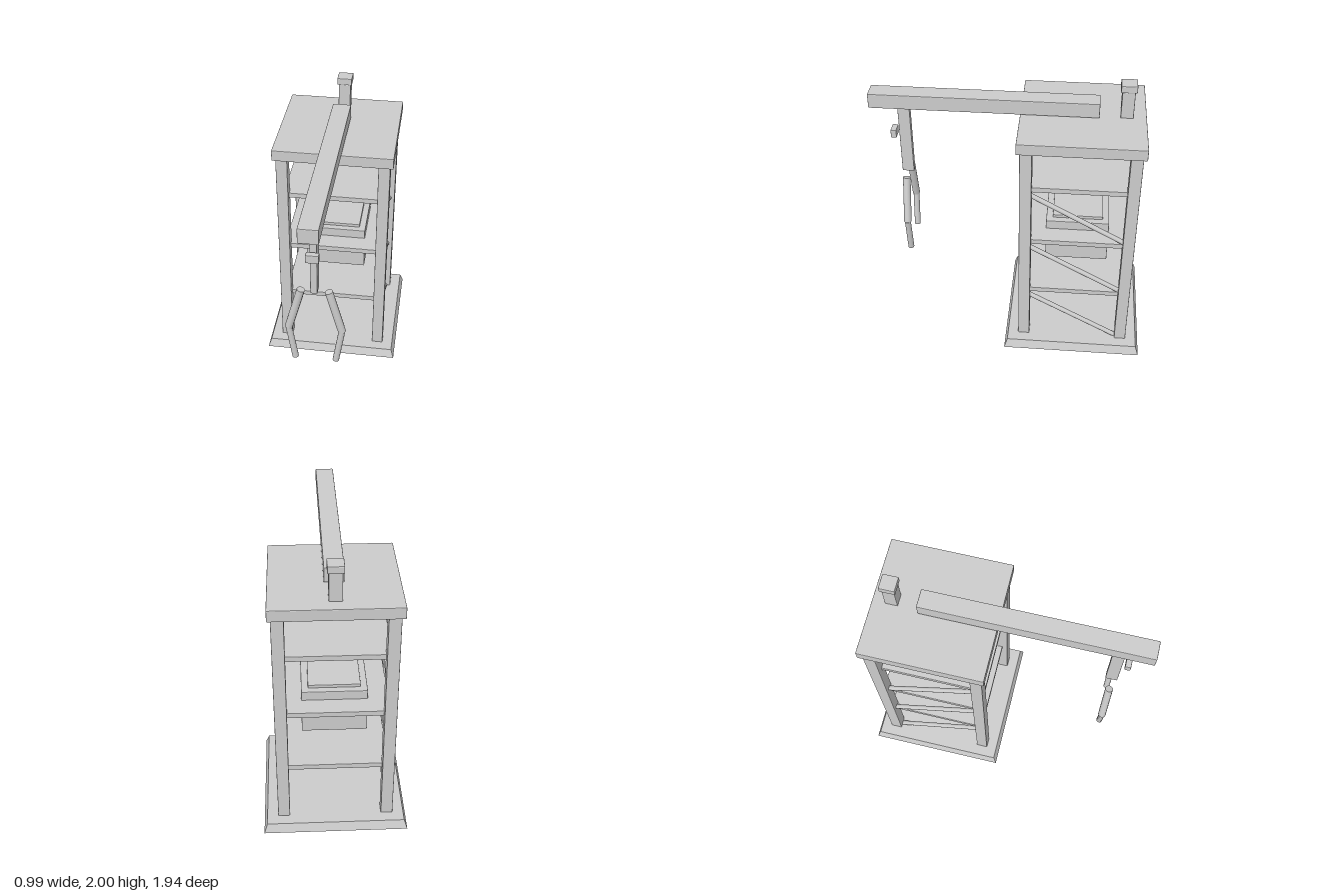
import * as THREE from 'three';
import { RoundedBoxGeometry } from 'three/addons/geometries/RoundedBoxGeometry.js';

const TOWER_Z = -0.473;

export function createModel() {
  const model = new THREE.Group();
  model.name = 'towerCrane';
  const flat = new THREE.MeshStandardMaterial({ color: 0xcccccc, flatShading: true });
  const smooth = new THREE.MeshStandardMaterial({ color: 0xcccccc });

  const add = (name, geometry, material = flat) => {
    const mesh = new THREE.Mesh(geometry, material);
    mesh.name = name;
    model.add(mesh);
    return mesh;
  };

  // Box with slightly chamfered edges, given by its extents
  const box = (name, x0, x1, y0, y1, z0, z1, bevel = 0.005) => {
    const g = new RoundedBoxGeometry(x1 - x0, y1 - y0, z1 - z0, 1, bevel);
    return add(name, g).position.set((x0 + x1) / 2, (y0 + y1) / 2, (z0 + z1) / 2);
  };

  // Round bar between two points
  const bar = (name, a, b, radius) => {
    const from = new THREE.Vector3(...a), to = new THREE.Vector3(...b);
    const dir = to.clone().sub(from);
    const mesh = add(name, new THREE.CylinderGeometry(radius, radius, dir.length(), 12), smooth);
    mesh.position.copy(from).add(to).multiplyScalar(0.5);
    mesh.quaternion.setFromUnitVectors(new THREE.Vector3(0, 1, 0), dir.normalize());
  };

  // Sloped square base
  const base = new THREE.CylinderGeometry(0.473 * Math.SQRT2, 0.495 * Math.SQRT2, 0.065, 4);
  base.rotateY(Math.PI / 4);
  add('base', base).position.set(0, 0.0325, TOWER_Z);

  // Four legs
  for (const sx of [-1, 1]) {
    for (const sz of [-1, 1]) {
      const x = sx * 0.357, z = TOWER_Z + sz * 0.357;
      box('leg', x - 0.041, x + 0.041, 0.065, 1.675, z - 0.041, z + 0.041);
    }
  }

  // Shelves with a sloping side brace below each
  for (const y of [0.47, 0.915, 1.36]) {
    box('shelf', -0.357, 0.357, y - 0.019, y + 0.019, TOWER_Z - 0.357, TOWER_Z + 0.357, 0.003);
    for (const sx of [-1, 1]) {
      bar('brace', [sx * 0.357, y - 0.025, -0.118], [sx * 0.357, y - 0.425, -0.825], 0.017);
    }
  }

  // Hanging box with its lid plate
  box('machineBox', -0.22, 0.22, 0.675, 1.0, TOWER_Z - 0.22, TOWER_Z + 0.22);
  box('machineLid', -0.175, 0.175, 0.998, 1.022, TOWER_Z - 0.175, TOWER_Z + 0.175, 0.003);

  // Roof, chimney and jib
  box('roof', -0.42, 0.42, 1.675, 1.755, TOWER_Z - 0.42, TOWER_Z + 0.42);
  box('chimney', -0.043, 0.043, 1.755, 1.95, -0.804, -0.718);
  box('chimneyCap', -0.053, 0.053, 1.95, 2.0, -0.815, -0.708);
  box('jib', -0.065, 0.065, 1.76, 1.865, -0.58, 0.97);

  // Hanging stem and the small block in front of it
  box('stem', -0.023, 0.023, 1.23, 1.76, 0.70, 0.783);
  box('stemBlock', -0.042, 0.042, 1.515, 1.575, 0.80, 0.84);

  // Pair of jointed claw arms
  for (const s of [-1, 1]) {
    bar('upperClaw', [s * 0.091, 1.222, 0.742], [s * 0.178, 0.895, 0.742], 0.027);
    bar('lowerClaw', [s * 0.179, 0.898, 0.742], [s * 0.138, 0.63, 0.742], 0.022);
  }

  return model;
}
